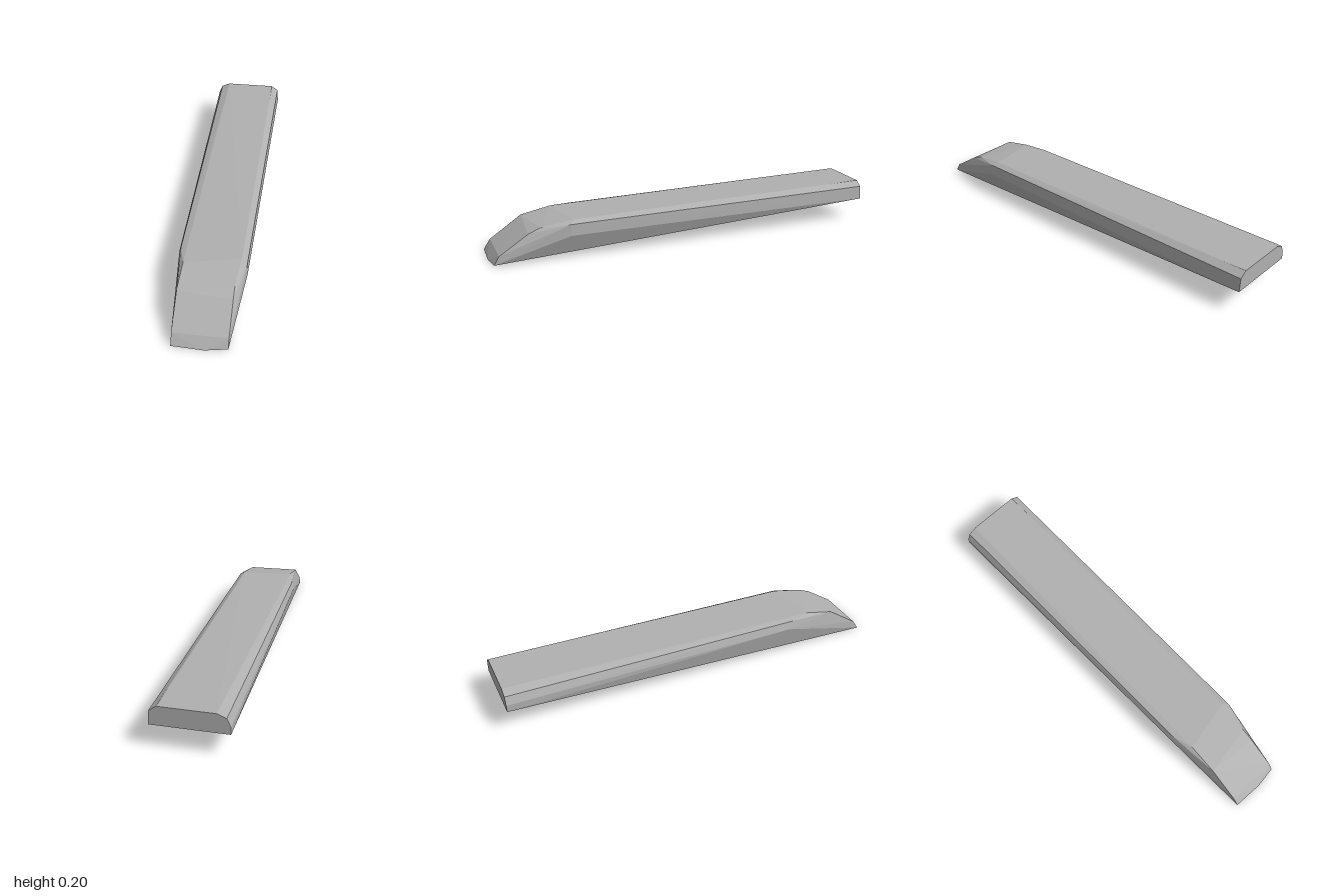
import * as THREE from 'three';
import { ConvexGeometry } from 'three/addons/geometries/ConvexGeometry.js';

// Corner points [x, y, z] of each faceted section, from the blunt end to the sloping tip
const sections = {
  rearEnd: [
    [-0.18, 0.112, -1], [-0.18, 0.148, -1], [-0.163, 0.188, -1], [-0.12, 0.205, -1],
    [0.14, 0.205, -1], [0.175, 0.18, -1], [0.18, 0.112, -1],
  ],
  shoulder: [
    [-0.167, 0.142, 0.52], [-0.155, 0.18, 0.54], [-0.126, 0.187, 0.65],
    [0.138, 0.191, 0.6], [0.165, 0.176, 0.62], [0.168, 0.12, 0.62],
  ],
  nose: [
    [-0.13, 0.157, 0.8], [0.125, 0.166, 0.76], [0.125, 0.142, 0.82],
    [-0.13, 0.05, 0.96], [0.125, 0.05, 0.963],
  ],
  tip: [[-0.13, 0.001, 0.993], [0.02, 0, 1], [0.125, 0.008, 0.988]],
};

export function createModel() {
  const group = new THREE.Group();
  group.name = 'taperedBar';

  const stone = new THREE.MeshStandardMaterial({ color: 0xb0b0b0 });
  stone.name = 'plain grey';

  // One solid bar whose flat facets span the sections
  const points = Object.values(sections).flat().map((p) => new THREE.Vector3(...p));
  const bar = new THREE.Mesh(new ConvexGeometry(points), stone);
  bar.name = 'bar';
  group.add(bar);
  return group;
}
